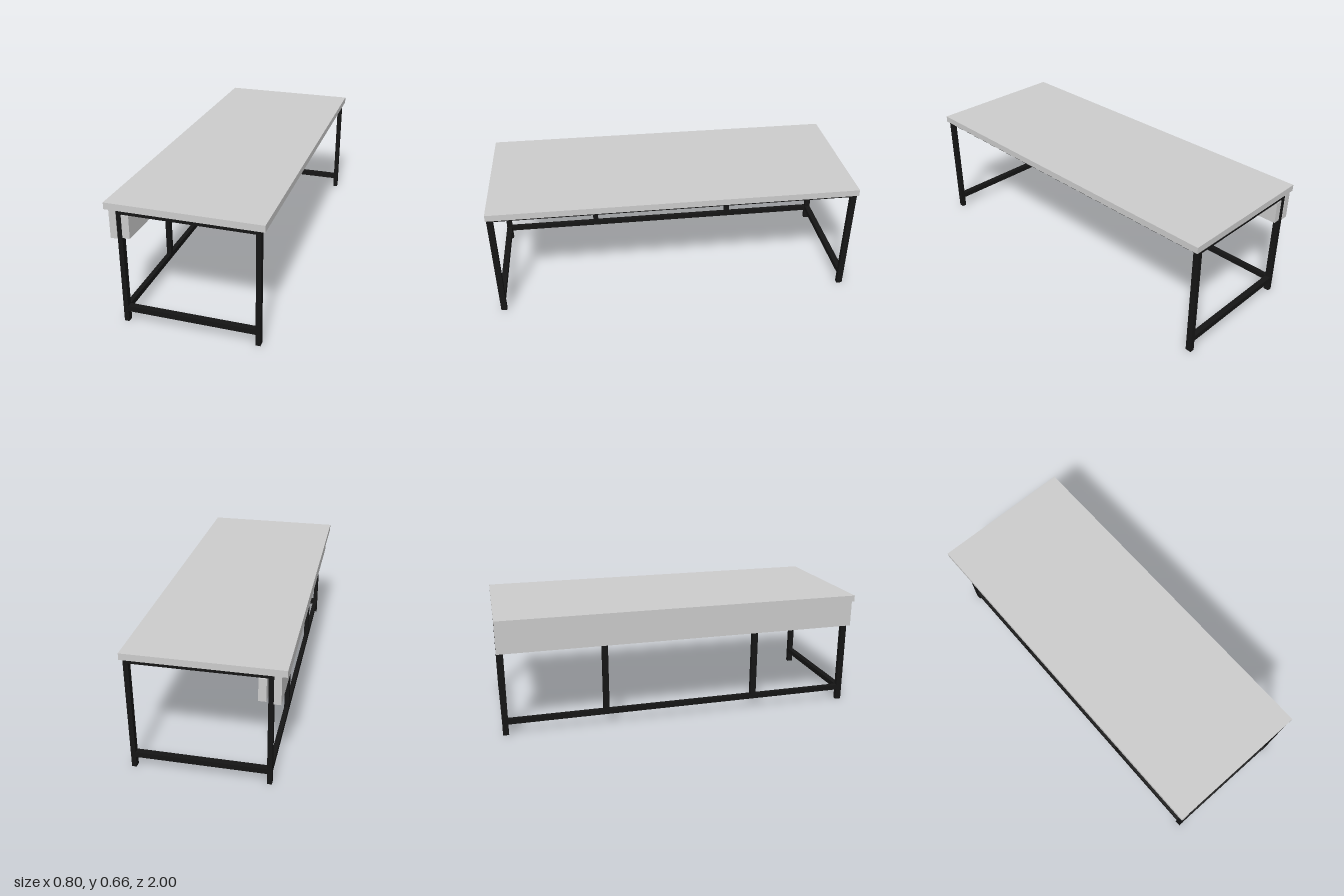
import * as THREE from 'three';

export function createModel() {
  const model = new THREE.Group();
  const grey = new THREE.MeshStandardMaterial({ color: 0xcccccc });
  const black = new THREE.MeshStandardMaterial({ color: 0x151515 });

  // Box given by its lower and upper limits on each axis
  const box = (name, material, [x0, x1], [y0, y1], [z0, z1]) => {
    const mesh = new THREE.Mesh(new THREE.BoxGeometry(x1 - x0, y1 - y0, z1 - z0), material);
    mesh.position.set((x0 + x1) / 2, (y0 + y1) / 2, (z0 + z1) / 2);
    mesh.name = name;
    model.add(mesh);
    return mesh;
  };

  const rightX = [-0.337, -0.312];
  const leftX = [0.357, 0.382];
  const ends = [['front', [0.966, 0.998]], ['back', [-0.996, -0.964]]];
  const inner = [-0.964, 0.966];
  const lowY = [0.061, 0.09];
  const highY = [0.605, 0.622];

  // Table top and the panels hung along its right side
  box('tableTop', grey, [-0.4, 0.4], [0.622, 0.657], [-1, 1]);
  box('outerPanel', grey, [-0.374, -0.338], [0.472, 0.622], [-1, 1]);
  const innerPanel = box('innerPanel', grey, [-0.308, -0.269], [0.48, 0.601], [-0.998, 0.998]);
  innerPanel.rotation.y = -0.004;

  // Legs and cross rails at both ends
  for (const [end, z] of ends) {
    box(end + 'RightLeg', black, rightX, [0, 0.605], z);
    box(end + 'LeftLeg', black, leftX, [0, 0.605], z);
    box(end + 'TopRail', black, [rightX[0], leftX[1]], highY, z);
    box(end + 'LowerRail', black, [rightX[1], leftX[0]], lowY, z);
  }

  // Long rails, the lower one only on the right side
  box('rightTopRail', black, rightX, highY, inner);
  box('leftTopRail', black, leftX, highY, inner);
  box('rightLowerRail', black, rightX, lowY, inner);

  // Middle posts on the right side
  for (const z of [0.431, -0.43]) {
    box('middlePost', black, rightX, [0.09, 0.605], [z - 0.016, z + 0.016]);
  }

  return model;
}
